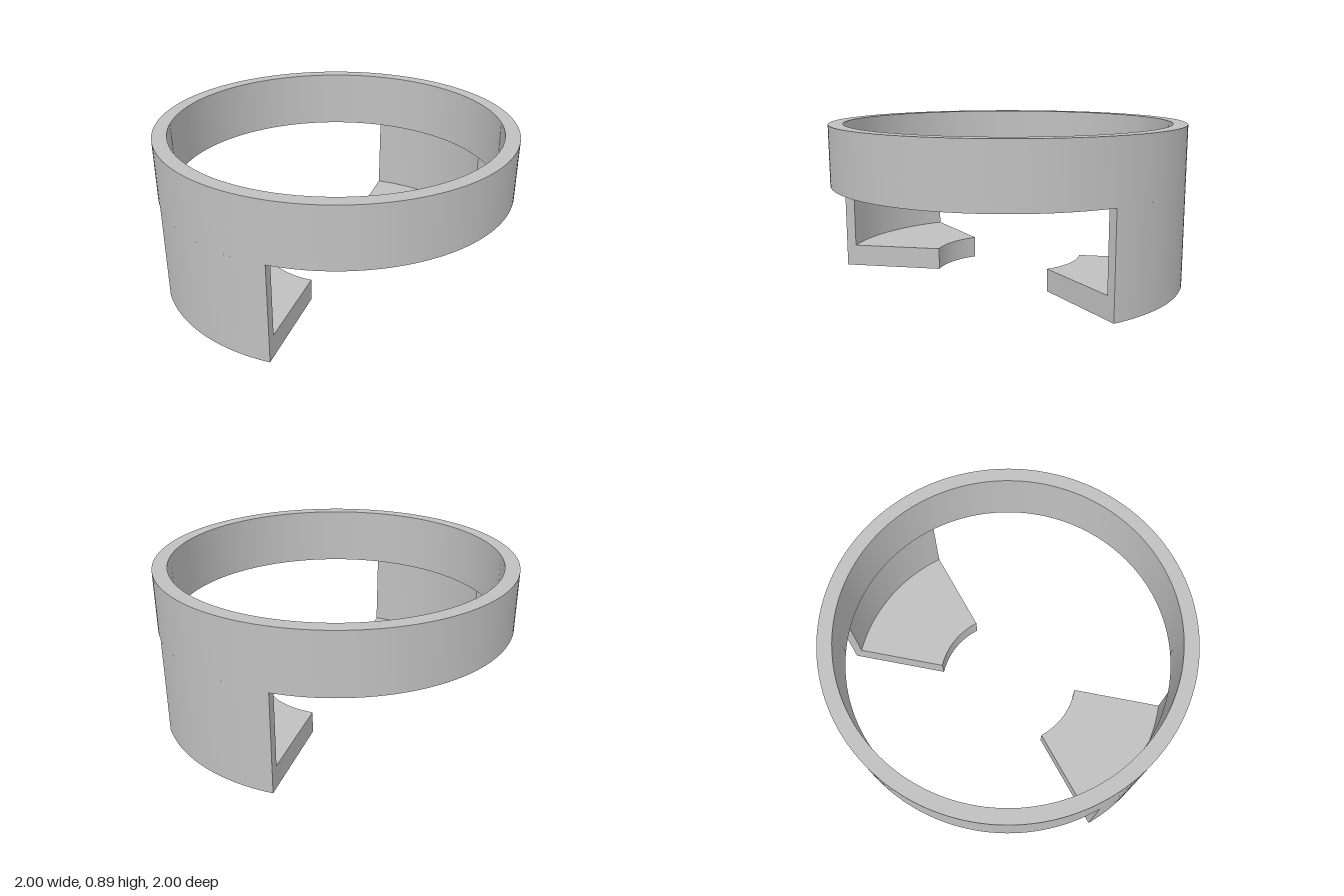
import * as THREE from 'three';
import { toCreasedNormals } from 'three/addons/utils/BufferGeometryUtils.js';

const LEG_START = THREE.MathUtils.degToRad(9);
const LEG_END = THREE.MathUtils.degToRad(59);

// Raise a flat outline from y0 to y1, smooth round the curves and sharp at the edges
function raise(shape, y0, y1, curveSegments) {
  const geometry = new THREE.ExtrudeGeometry(shape, { depth: y1 - y0, bevelEnabled: false, curveSegments });
  geometry.rotateX(-Math.PI / 2).translate(0, y0, 0);
  return toCreasedNormals(geometry, Math.PI / 6);
}

// Slice of a ring between two radii
function sector(inner, outer) {
  const shape = new THREE.Shape();
  shape.absarc(0, 0, outer, LEG_START, LEG_END, false);
  shape.absarc(0, 0, inner, LEG_END, LEG_START, true);
  shape.closePath();
  return shape;
}

export function createModel() {
  const model = new THREE.Group();
  model.name = 'ringHolder';
  const grey = new THREE.MeshStandardMaterial({ name: 'grey', color: 0xc0c0c0 });

  function part(name, geometry, parent) {
    const mesh = new THREE.Mesh(geometry, grey);
    mesh.name = name;
    parent.add(mesh);
  }

  // Upper ring
  const ring = new THREE.Shape();
  ring.absarc(0, 0, 1, 0, Math.PI * 2, false);
  const hole = new THREE.Path();
  hole.absarc(0, 0, 0.92, 0, Math.PI * 2, true);
  ring.holes.push(hole);
  part('ring', raise(ring, 0.56, 0.895, 80), model);

  // Two opposite legs, each a curved wall with a shelf reaching inwards
  const wall = raise(sector(0.945, 1), 0.125, 0.56, 16);
  const shelf = raise(sector(0.42, 1), 0, 0.125, 16);
  ['rightRearLeg', 'leftFrontLeg'].forEach((name, i) => {
    const leg = new THREE.Group();
    leg.name = i === 0 ? 'leftRearLeg' : 'rightFrontLeg';
    part('legWall', wall, leg);
    part('legShelf', shelf, leg);
    leg.rotation.y = i * Math.PI;
    model.add(leg);
  });

  return model;
}
